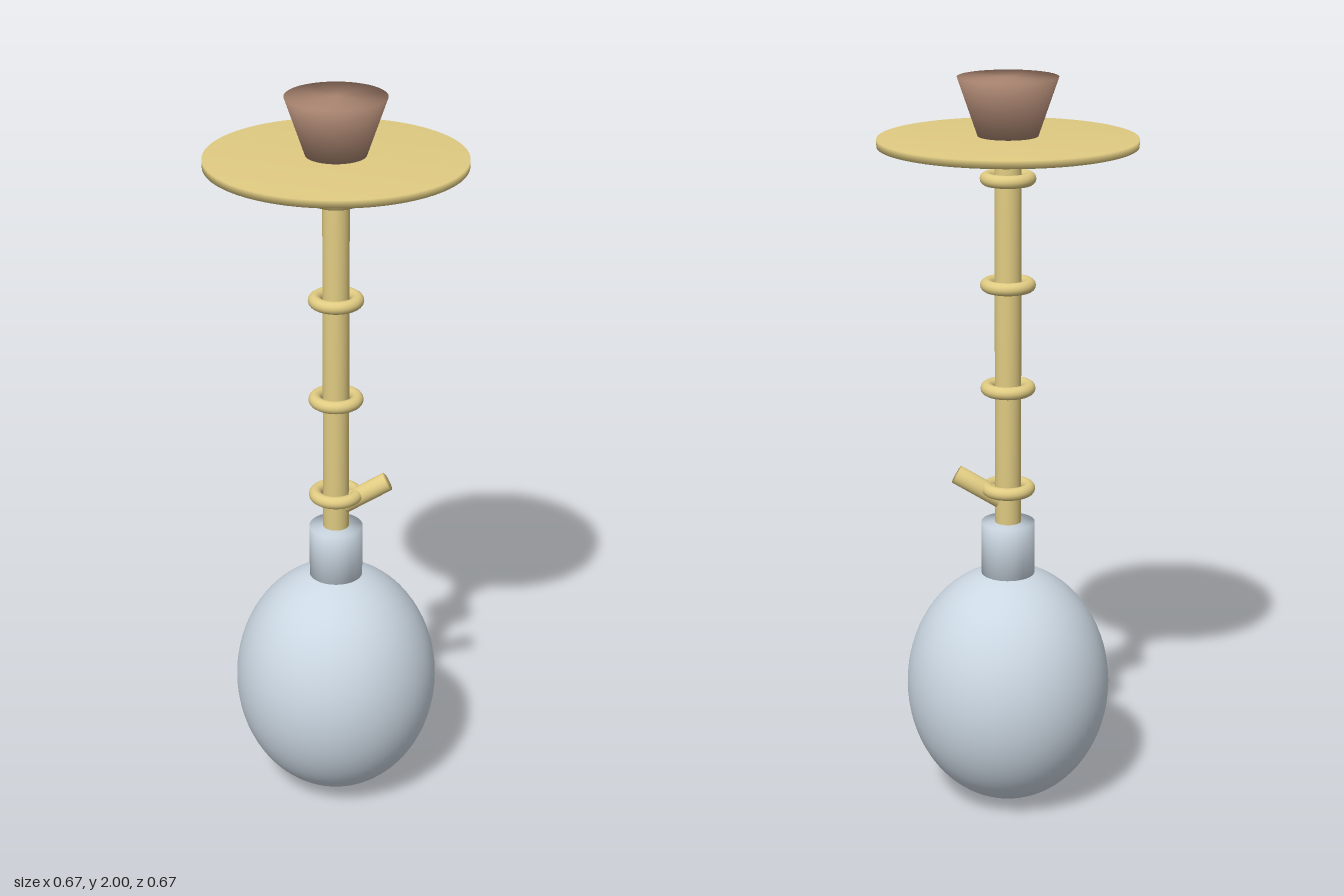
import * as THREE from 'three';

export function createModel() {
  const group = new THREE.Group();
  const brass = new THREE.MeshStandardMaterial({ color: 0xe0cb82 });
  const glass = new THREE.MeshStandardMaterial({ color: 0xcbd7e2 });
  const clay = new THREE.MeshStandardMaterial({ color: 0xa98470 });

  function add(name, geometry, material, x = 0, y = 0, z = 0) {
    const mesh = new THREE.Mesh(geometry, material);
    mesh.name = name;
    mesh.position.set(x, y, z);
    group.add(mesh);
    return mesh;
  }

  // Closed round body with normals blended softly over its rims
  function turned(rBottom, rTop, y0, y1, segments = 48) {
    const profile = [[0, y0], [rBottom, y0], [rTop, y1], [0, y1]];
    return new THREE.LatheGeometry(profile.map(([r, y]) => new THREE.Vector2(r, y)), segments);
  }

  // Egg-shaped water vessel and its neck
  const vessel = add('vessel', new THREE.SphereGeometry(0.278, 64, 40), glass, 0, 0.335, 0);
  vessel.scale.y = 0.335 / 0.278;
  add('vesselNeck', turned(0.072, 0.072, 0.655, 0.805), glass);

  // Central stem with evenly spaced rings
  add('stem', turned(0.035, 0.035, 0.78, 1.85), brass);
  for (let i = 0; i < 4; i++) {
    const ring = add('stemRing', new THREE.TorusGeometry(0.056, 0.017, 16, 48), brass, 0, 0.9 + 0.28 * i, 0);
    ring.rotation.x = Math.PI / 2;
  }

  // Hose port, tilted 30 degrees upward on the left side
  const port = add('hosePort', turned(0.026, 0.026, -0.16, 0, 32), brass, 0.138, 0.937, 0);
  port.rotation.z = -Math.PI / 3;

  // Tray and bowl at the top
  add('tray', turned(0.336, 0.336, 1.825, 1.845, 72), brass);
  add('bowl', turned(0.078, 0.13, 1.85, 2.0), clay);

  return group;
}
